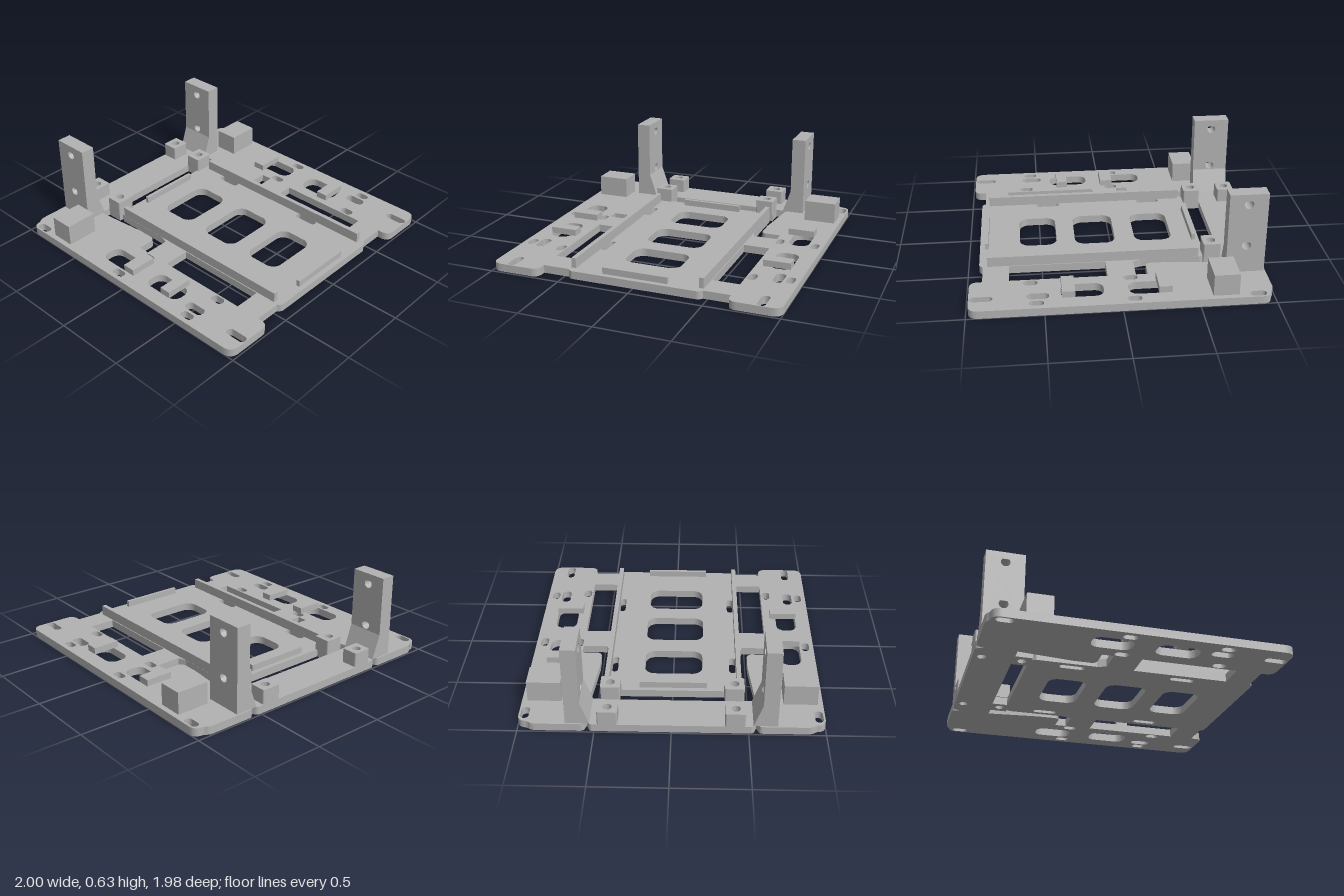
import * as THREE from 'three';

const T = 0.055; // plate thickness

// Traces a closed outline; each point is [x, y, corner radius]
function trace(path, pts) {
  const n = pts.length;
  pts.forEach(([x, y, r = 0], i) => {
    const p = new THREE.Vector2(x, y);
    const toward = (q) => p.clone().add(new THREE.Vector2(q[0] - x, q[1] - y).setLength(r));
    const a = r ? toward(pts[(i + n - 1) % n]) : p;
    if (i === 0) path.moveTo(a.x, a.y);
    else path.lineTo(a.x, a.y);
    if (r) {
      const b = toward(pts[(i + 1) % n]);
      path.quadraticCurveTo(x, y, b.x, b.y);
    }
  });
  path.closePath();
  return path;
}

// Rounded rectangle opening; full radius gives a slot
function slot(x0, x1, z0, z1, r) {
  const p = new THREE.Path();
  p.moveTo(x0 + r, z0);
  p.lineTo(x1 - r, z0);
  p.absarc(x1 - r, z0 + r, r, -Math.PI / 2, 0);
  p.lineTo(x1, z1 - r);
  p.absarc(x1 - r, z1 - r, r, 0, Math.PI / 2);
  p.lineTo(x0 + r, z1);
  p.absarc(x0 + r, z1 - r, r, Math.PI / 2, Math.PI);
  p.lineTo(x0, z0 + r);
  p.absarc(x0 + r, z0 + r, r, Math.PI, Math.PI * 1.5);
  return p;
}

const circle = (x, z, r) => new THREE.Path().absarc(x, z, r, 0, Math.PI * 2);
const mirror = (pts) => pts.map(([x, z, r]) => [-x, z, r]).reverse();

// Extrudes an (x, z) shape upward from y0 to y1
function slab(shape, y0, y1) {
  const g = new THREE.ExtrudeGeometry(shape, { depth: y1 - y0, bevelEnabled: false, curveSegments: 8 });
  return g.rotateX(Math.PI / 2).translate(0, y1, 0);
}

export function createModel() {
  const model = new THREE.Group();
  model.name = 'mountingPlate';
  const grey = new THREE.MeshStandardMaterial({ color: 0xb2b2b2 });
  grey.name = 'grey plastic';

  const add = (name, geometry) => {
    const m = new THREE.Mesh(geometry, grey);
    m.name = name;
    model.add(m);
    return m;
  };
  const box = (name, x0, x1, y0, y1, z0, z1) =>
    add(name, new THREE.BoxGeometry(x1 - x0, y1 - y0, z1 - z0)
      .translate((x0 + x1) / 2, (y0 + y1) / 2, (z0 + z1) / 2));

  // Base plate outline, right half from back to front
  const half = [
    [0.53, -0.99, 0.02], [0.55, -0.94], [0.57, -0.99, 0.02], [0.91, -0.99, 0.03],
    [0.935, -0.965, 0.02], [1, -0.965, 0.06], [1, 0.985, 0.07], [0.655, 0.985, 0.06],
    [0.655, 0.9], [0.47, 0.9], [0.45, 0.925, 0.02],
  ];
  const plate = trace(new THREE.Shape(), [...half, ...mirror(half)]);

  // Large openings between the wings, the rear bar and the centre
  const sideGap = [
    [0.48, -0.725], [0.555, -0.725], [0.515, -0.35], [0.515, -0.2, 0.04], [0.655, -0.2],
    [0.655, -0.12], [0.485, -0.12], [0.465, -0.18], [0.465, -0.585], [0.45, -0.61], [0.48, -0.61],
  ];
  const rect = (x0, x1, z0, z1) => [[x0, z0], [x1, z0], [x1, z1], [x0, z1]];
  const cut = (pts) => plate.holes.push(trace(new THREE.Path(), pts));
  cut(sideGap);
  cut(mirror(sideGap));
  cut(rect(-0.355, 0.355, -0.73, -0.625));
  cut(rect(0.47, 0.655, 0.07, 0.725));
  cut(rect(-0.655, -0.47, 0.07, 0.725));

  // Centre windows
  plate.holes.push(
    slot(-0.2, 0.2, -0.435, -0.17, 0.07),
    slot(-0.207, 0.207, 0.03 - 0.06, 0.255, 0.07),
    slot(-0.2, 0.2, 0.385, 0.645, 0.07),
  );

  // Mirrored slots: centre x, centre z, width, length
  const slots = [
    [0.96, -0.88, 0.055, 0.11], [0.69, -0.078, 0.055, 0.095], [0.94, 0.55, 0.055, 0.095],
    [0.86, 0.54, 0.068, 0.145], [0.695, 0.585, 0.058, 0.095], [0.865, 0.905, 0.056, 0.15],
    [0.41, -0.335, 0.045, 0.17], [0.41, 0.43, 0.045, 0.17],
  ];
  for (const s of [-1, 1]) {
    for (const [x, z, w, l] of slots) {
      plate.holes.push(slot(s * x - w / 2, s * x + w / 2, z - l / 2, z + l / 2, w * 0.48));
    }
    const z = s > 0 ? -0.078 : -0.097;
    plate.holes.push(slot(s * 0.942 - 0.027, s * 0.942 + 0.027, z - 0.048, z + 0.048, 0.026));
    for (const hz of [-0.93, -0.67]) plate.holes.push(circle(s * 0.415, hz, 0.03));
  }

  // Wing windows
  plate.holes.push(
    slot(-0.9, -0.755, -0.315, -0.045, 0.06), slot(-0.897, -0.752, 0.11, 0.395, 0.06),
    slot(0.75, 0.893, -0.315, -0.05, 0.06), slot(0.737, 0.89, 0.11, 0.395, 0.06),
  );
  add('basePlate', slab(plate, 0, T));

  // Small bridges across the wing windows
  const bridges = [
    [-0.9, -0.71, -0.09, 0], [-0.9, -0.71, 0.265, 0.345],
    [0.705, 0.893, -0.33, -0.243], [0.703, 0.893, 0.3, 0.385],
  ];
  for (const [x0, x1, z0, z1] of bridges) box('bridge', x0, x1, T, 0.1, z0, z1);

  // Front and rear retaining lips
  box('frontLip', -0.23, 0.225, T, 0.1, 0.865, 0.89);
  box('rearLip', -0.23, 0.225, T, 0.1, -0.595, -0.57);

  // Upright profile, seen from the side, with two teardrop holes
  const upright = trace(new THREE.Shape(), [[0.72, T], [0.98, T], [0.98, 0.63], [0.72, 0.63]]);
  for (const y of [0.255, 0.558]) {
    const drop = new THREE.Path();
    drop.moveTo(0.85, y + 0.043);
    drop.absarc(0.85, y, 0.031, Math.PI * 0.75, Math.PI * 2.25);
    drop.closePath();
    upright.holes.push(drop);
  }

  for (const s of [-1, 1]) {
    const side = s > 0 ? 'left' : 'right';
    const span = (a, b) => (s > 0 ? [a, b] : [-b, -a]);

    box(side + 'Rail', ...span(0.432, 0.464), T, 0.125, -0.575, 0.87);
    box(side + 'CornerBlock', ...span(0.737, 0.963), T, 0.205, -0.755, -0.585);

    // Screw bosses with through holes
    for (const [z0, z1, hz] of [[-0.99, -0.87, -0.93], [-0.73, -0.608, -0.67]]) {
      const [x0, x1] = span(0.347, 0.48);
      const boss = trace(new THREE.Shape(), rect(x0, x1, z0, z1).map((p) => [...p, 0.012]));
      boss.holes.push(circle(s * 0.415, hz, 0.03));
      add(side + 'ScrewBoss', slab(boss, T, 0.155));
    }

    // Upright post and its sloped foot
    const post = new THREE.ExtrudeGeometry(upright, { depth: 0.1, bevelEnabled: false, curveSegments: 12 });
    add(side + 'Post', post.rotateY(Math.PI / 2).translate(s > 0 ? 0.587 : -0.687, 0, 0));
    const wedge = trace(new THREE.Shape(), [[s * 0.53, T], [s * 0.587, T], [s * 0.587, 0.22]]);
    add(side + 'PostFoot', new THREE.ExtrudeGeometry(wedge, { depth: 0.26, bevelEnabled: false })
      .translate(0, 0, -0.98));
  }
  return model;
}
